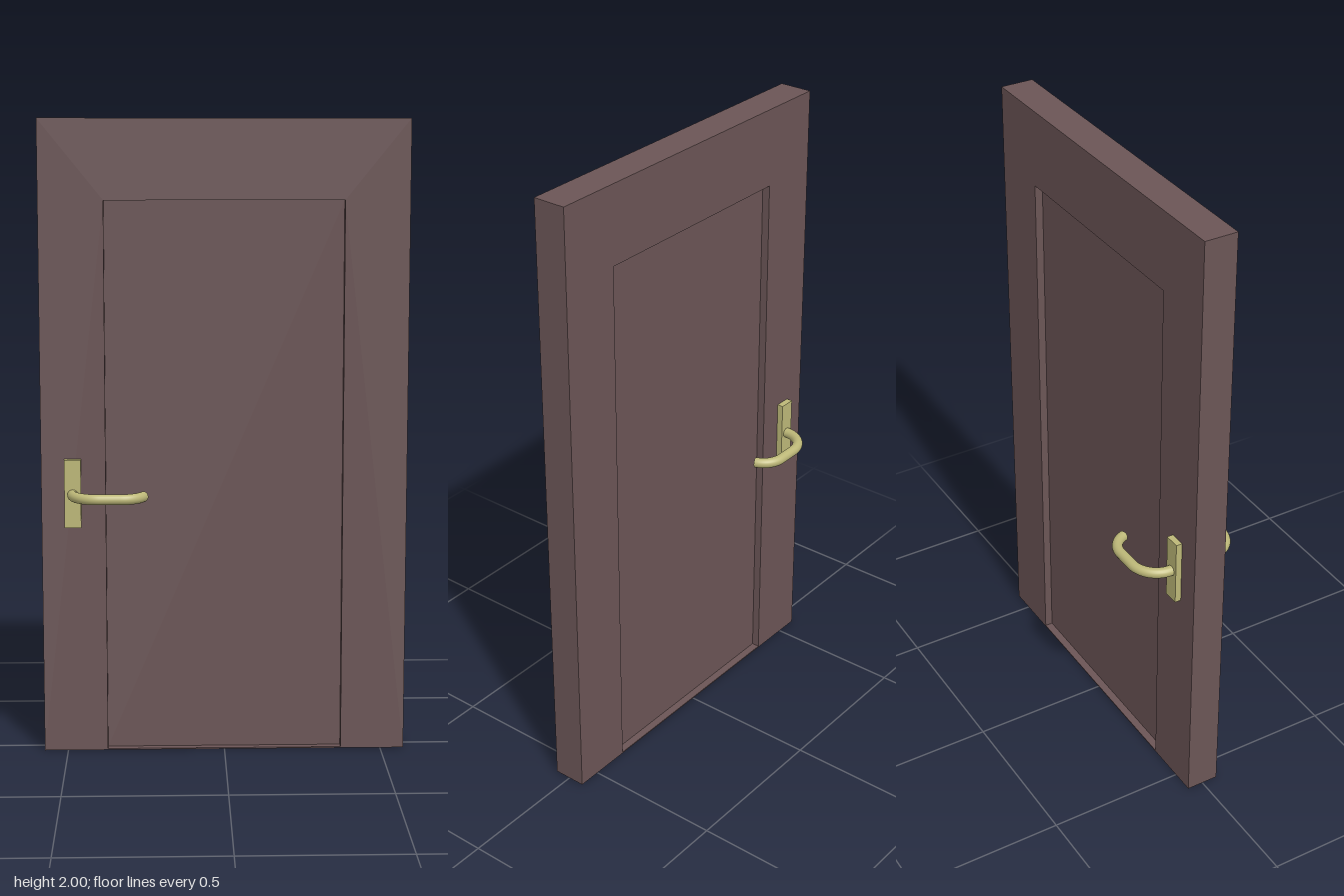
import * as THREE from 'three';

const wood = new THREE.MeshStandardMaterial({ color: 0x6b5556 });
const brass = new THREE.MeshStandardMaterial({ color: 0xbdb878 });

const HALF_W = 0.575, HEIGHT = 2, HALF_T = 0.0535; // door slab
const PANEL_X = 0.373, PANEL_TOP = 1.75, SILL = 0.004, PANEL_HALF_T = 0.028;
const LEVER_Y = 0.835, LEVER_R = 0.0165;

function rectangle(Type, x, y0, y1) {
  const r = new Type();
  r.moveTo(-x, y0);
  r.lineTo(x, y0);
  r.lineTo(x, y1);
  r.lineTo(-x, y1);
  r.closePath();
  return r;
}

function addMesh(parent, name, geometry, material) {
  const mesh = new THREE.Mesh(geometry, material);
  mesh.name = name;
  parent.add(mesh);
  return mesh;
}

// Backplate and curved lever; side is +1 for the front, -1 for the back
function createHandle(side) {
  const handle = new THREE.Group();
  handle.name = side > 0 ? 'frontHandle' : 'backHandle';

  const plate = addMesh(handle, 'backplate', new THREE.BoxGeometry(0.052, 0.216, 0.02), brass);
  plate.position.set(-0.476, 0.837, side * (HALF_T + 0.01));

  // Lever centreline in plan: out of the plate, along the door, hooked back
  const plan = new THREE.Path();
  plan.moveTo(-0.476, 0.06);
  plan.lineTo(-0.476, 0.075);
  plan.absarc(-0.39, 0.075, 0.086, Math.PI, Math.PI / 2, true);
  plan.lineTo(-0.325, 0.161);
  plan.absarc(-0.325, 0.087, 0.074, Math.PI / 2, Math.PI / 2 - 1.28, true);
  const points = plan.getSpacedPoints(40).map(p => new THREE.Vector3(p.x, LEVER_Y, side * p.y));
  const curve = new THREE.CatmullRomCurve3(points);
  addMesh(handle, 'lever', new THREE.TubeGeometry(curve, 48, LEVER_R, 20), brass);

  // Flat end of the lever
  const tip = addMesh(handle, 'leverTip', new THREE.CircleGeometry(LEVER_R, 20), brass);
  tip.position.copy(curve.getPoint(1));
  tip.quaternion.setFromUnitVectors(new THREE.Vector3(0, 0, 1), curve.getTangent(1));
  return handle;
}

export function createModel() {
  const door = new THREE.Group();
  door.name = 'door';

  // Frame with an opening for the panel
  const outline = rectangle(THREE.Shape, HALF_W, 0, HEIGHT);
  outline.holes.push(rectangle(THREE.Path, PANEL_X, SILL, PANEL_TOP));
  const frame = new THREE.ExtrudeGeometry(outline, { depth: 2 * HALF_T, bevelEnabled: false });
  frame.translate(0, 0, -HALF_T);
  addMesh(door, 'frame', frame, wood);

  // Panel recessed on both faces
  const panel = addMesh(door, 'panel',
    new THREE.BoxGeometry(2 * PANEL_X, PANEL_TOP - SILL, 2 * PANEL_HALF_T), wood);
  panel.position.y = (PANEL_TOP + SILL) / 2;

  for (const side of [1, -1]) door.add(createHandle(side));
  return door;
}
